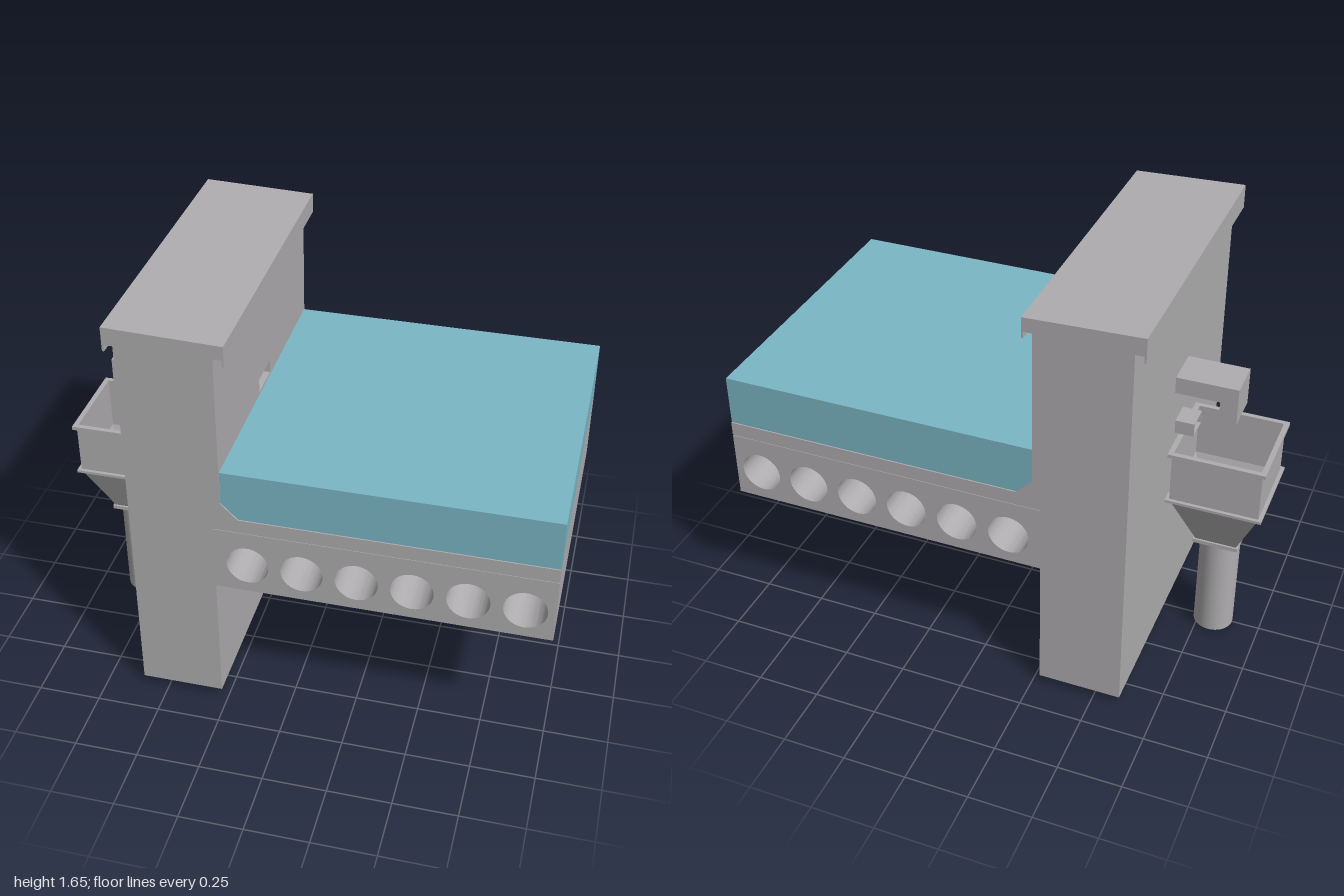
import * as THREE from 'three';
import { toCreasedNormals } from 'three/addons/utils/BufferGeometryUtils.js';

const D = 1.22; // overall depth along z

export function createModel() {
  const model = new THREE.Group();
  const concrete = new THREE.MeshStandardMaterial({ color: 0xafadaf });
  concrete.name = 'concrete grey';
  const water = new THREE.MeshStandardMaterial({ color: 0x7ab6c4 });
  water.name = 'water blue';

  const add = (name, geometry, material = concrete, parent = model) => {
    const mesh = new THREE.Mesh(geometry, material);
    mesh.name = name;
    parent.add(mesh);
    return mesh;
  };
  // Box given by its limits
  const box = (name, x0, x1, y0, y1, z0, z1, parent = model) => {
    const g = new THREE.BoxGeometry(x1 - x0, y1 - y0, z1 - z0);
    g.translate((x0 + x1) / 2, (y0 + y1) / 2, (z0 + z1) / 2);
    return add(name, g, concrete, parent);
  };
  const polygon = (points) => new THREE.Shape(points.map(([x, y]) => new THREE.Vector2(x, y)));
  const rect = (x0, x1, y0, y1) => polygon([[x0, y0], [x1, y0], [x1, y1], [x0, y1]]);
  // Side profile extruded along z, centred on z
  const extrudeZ = (shape, depth, z = 0) => {
    const g = new THREE.ExtrudeGeometry(shape, { depth, bevelEnabled: false, curveSegments: 32 });
    g.translate(0, 0, z - depth / 2);
    return toCreasedNormals(g, 0.6);
  };
  // Upright panel between two x positions, pierced by the overflow opening
  const piercedPanel = (x0, x1, y0, y1) => {
    const shape = rect(-D / 2, D / 2, y0, y1);
    shape.holes.push(rect(-0.075, 0.075, 1.115, 1.172));
    const g = new THREE.ExtrudeGeometry(shape, { depth: x1 - x0, bevelEnabled: false });
    g.rotateY(Math.PI / 2);
    g.translate(x0, 0, 0);
    return g;
  };

  // Parapet wall and the upstand lining its inner face
  add('wall', piercedPanel(-0.605, -0.277, 0.03, 1.585));
  add('upstand', piercedPanel(-0.277, -0.245, 0.97, 1.585));

  // Sloping coping with a drip edge on both sides
  add('coping', extrudeZ(polygon([
    [-0.645, 1.56], [-0.637, 1.56], [-0.637, 1.585], [-0.213, 1.585],
    [-0.213, 1.56], [-0.205, 1.56], [-0.205, 1.64], [-0.645, 1.655],
  ]), D));

  // Hollow-core slab
  const slab = rect(-0.277, 1, 0.575, 0.846);
  for (let i = 0; i < 6; i++) {
    const hole = new THREE.Path();
    hole.absarc(-0.15 + i * 0.208, 0.697, 0.081, 0, Math.PI * 2, true);
    slab.holes.push(hole);
  }
  add('hollowSlab', extrudeZ(slab, D));
  box('membrane', -0.277, 0.998, 0.846, 0.852, -0.608, 0.608);

  // Screed with a chamfered fillet at the wall, and the water above it
  add('screed', extrudeZ(polygon([
    [-0.277, 0.852], [1, 0.852], [1, 0.905], [-0.18, 0.905], [-0.245, 0.97], [-0.277, 0.97],
  ]), D));
  add('pondedWater', extrudeZ(polygon([
    [-0.18, 0.905], [1, 0.905], [1, 1.105], [-0.245, 1.105], [-0.245, 0.97],
  ]), 1.21), water);

  // Hollow overflow spout bending down outside the wall
  const spout = new THREE.Group();
  spout.name = 'overflowSpout';
  model.add(spout);
  const elbow = () => polygon([
    [-0.845, 1.025], [-0.777, 1.025], [-0.777, 1.11], [-0.605, 1.11], [-0.605, 1.178], [-0.845, 1.178],
  ]);
  for (const s of [-1, 1]) add('spoutSide', extrudeZ(elbow(), 0.006, s * 0.077), concrete, spout);
  box('spoutTop', -0.845, -0.605, 1.172, 1.178, -0.074, 0.074, spout);
  box('spoutOuter', -0.845, -0.839, 1.025, 1.172, -0.074, 0.074, spout);
  box('spoutBottom', -0.783, -0.605, 1.11, 1.116, -0.074, 0.074, spout);
  box('spoutInner', -0.783, -0.777, 1.025, 1.11, -0.074, 0.074, spout);

  // Small drain outlet below it, open at the outer end
  const outlet = new THREE.Group();
  outlet.name = 'drainOutlet';
  model.add(outlet);
  for (const s of [-1, 1]) {
    box('outletSide', -0.68, -0.605, 0.91, 0.966, s * 0.047 - 0.003, s * 0.047 + 0.003, outlet);
    const y = 0.938 + s * 0.025;
    box('outletPlate', -0.68, -0.605, y - 0.003, y + 0.003, -0.044, 0.044, outlet);
  }

  // Square hopper head: outer face upwards, then inner face back down
  const r2 = Math.SQRT2;
  const hopper = [
    [0.08, 0.44], [0.09, 0.44], [0.09, 0.456], [0.082, 0.456], [0.172, 0.68],
    [0.188, 0.68], [0.188, 0.691], [0.174, 0.691], [0.174, 0.89], [0.188, 0.89],
    [0.188, 0.905], [0.168, 0.905], [0.168, 0.685], [0.076, 0.456], [0.076, 0.44], [0.08, 0.44],
  ].map(([r, y]) => new THREE.Vector2(r * r2, y));
  const hopperGeometry = new THREE.LatheGeometry(hopper, 4, Math.PI / 4).toNonIndexed();
  hopperGeometry.computeVertexNormals();
  add('hopperHead', hopperGeometry).position.x = -0.808;

  // Round downpipe, open at both ends
  const pipe = [[0.073, 0], [0.08, 0], [0.08, 0.445], [0.073, 0.445], [0.073, 0]]
    .map(([r, y]) => new THREE.Vector2(r, y));
  add('downpipe', toCreasedNormals(new THREE.LatheGeometry(pipe, 32), 0.6)).position.x = -0.808;

  return model;
}
